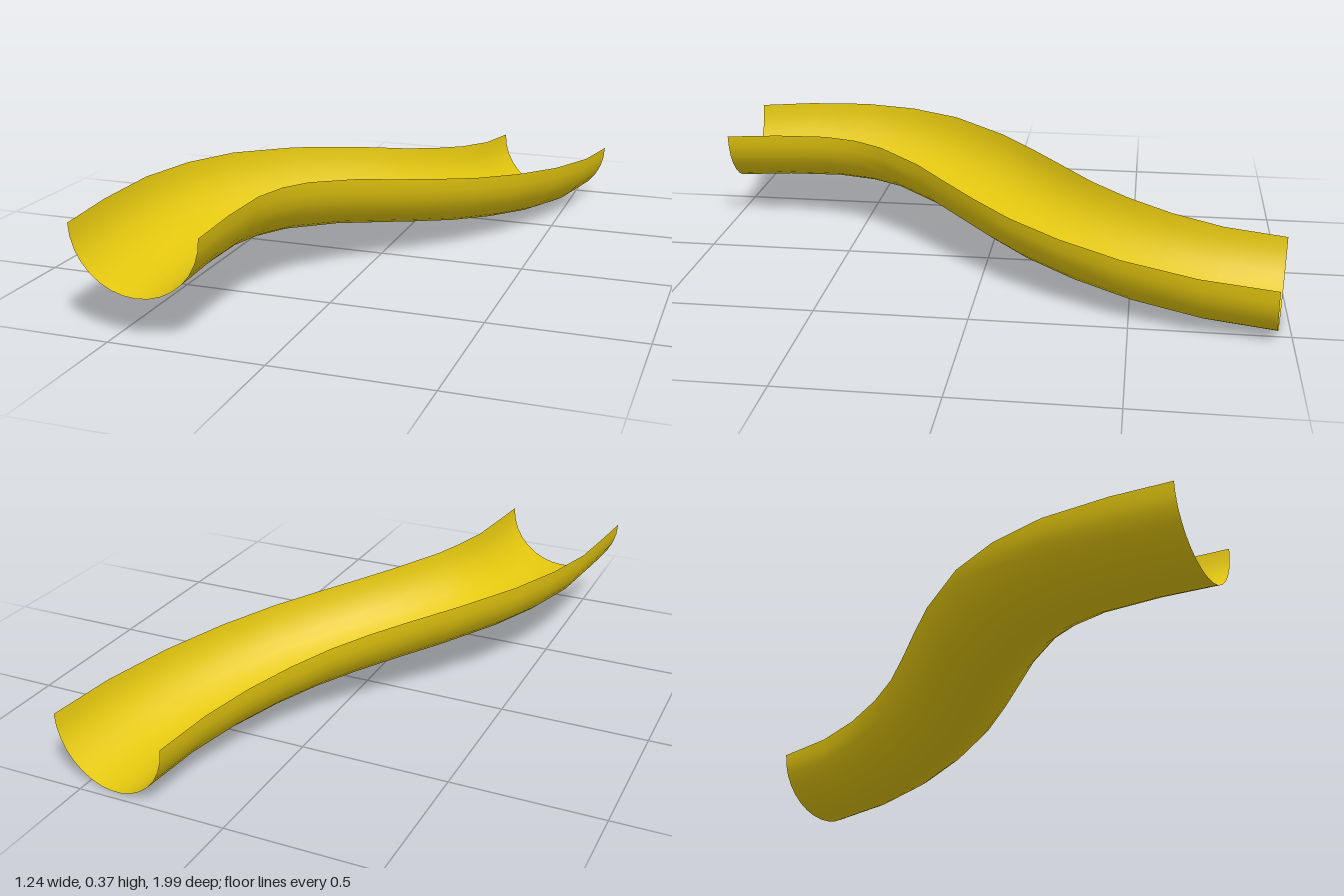
import * as THREE from 'three';

// Trough path from front to back: x, height of the channel floor, z
const PATH = [
  [-0.408, 0.142, 0.983], [-0.404, 0.156, 0.79], [-0.39, 0.164, 0.585],
  [-0.35, 0.165, 0.43], [-0.288, 0.159, 0.29], [-0.165, 0.14, 0.117],
  [-0.06, 0.12, 0], [0.04, 0.1, -0.11], [0.14, 0.078, -0.23],
  [0.232, 0.056, -0.375], [0.315, 0.034, -0.55], [0.377, 0.015, -0.75],
  [0.408, 0.002, -0.97],
].map((p) => new THREE.Vector3(...p));

const SIDES = 16, RADIUS = 0.211, DEPTH = 0.206;

// Half-round cross-sections, kept upright and square to the path
function troughGeometry() {
  const positions = [], index = [], last = PATH.length - 1;
  PATH.forEach((p, i) => {
    const along = PATH[Math.min(i + 1, last)].clone().sub(PATH[Math.max(i - 1, 0)]);
    const across = new THREE.Vector3(-along.z, 0, along.x).normalize();
    const bank = 0.006 * Math.sin(Math.PI * i / last) + 0.004 * i / last;
    for (let j = 0; j <= SIDES; j++) {
      const a = Math.PI * j / SIDES, s = -Math.cos(a);
      positions.push(
        p.x + across.x * s * RADIUS,
        p.y + DEPTH * (1 - Math.sin(a)) - s * bank,
        p.z + across.z * s * RADIUS);
    }
  });
  const row = SIDES + 1;
  for (let i = 0; i < last; i++) {
    for (let j = 0; j < SIDES; j++) {
      const a = i * row + j, b = a + 1, c = a + row, d = c + 1;
      index.push(a, b, c, b, d, c);
    }
  }
  const geometry = new THREE.BufferGeometry();
  geometry.setAttribute('position', new THREE.Float32BufferAttribute(positions, 3));
  geometry.setIndex(index);
  geometry.computeVertexNormals();
  return geometry;
}

export function createModel() {
  const group = new THREE.Group();
  group.name = 'slide';
  const material = new THREE.MeshStandardMaterial({ color: 0xe5c80f, side: THREE.DoubleSide });
  const trough = new THREE.Mesh(troughGeometry(), material);
  trough.name = 'slideTrough';
  group.add(trough);
  return group;
}
